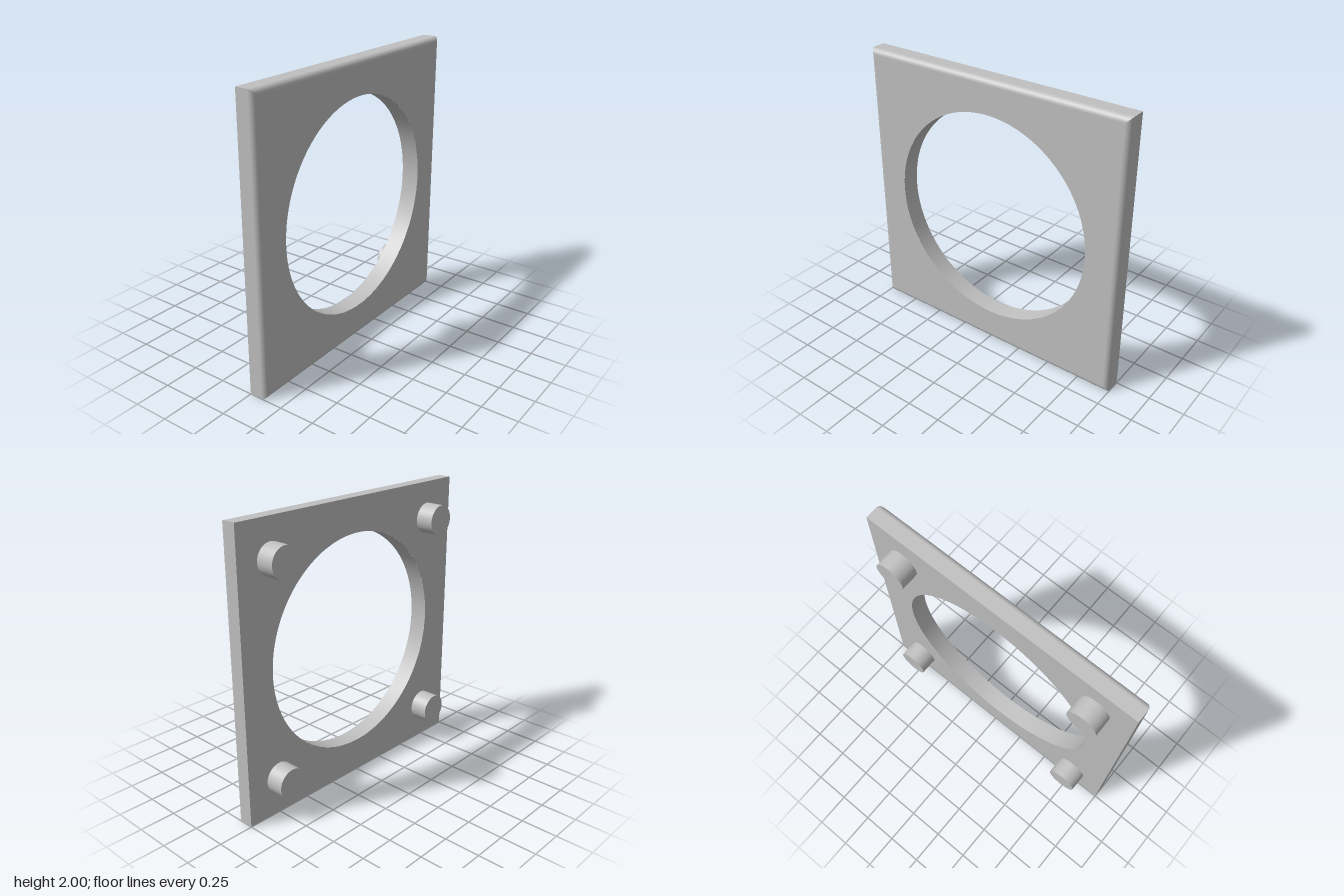
import * as THREE from 'three';

const HALF = 1, DEPTH = 0.13, FILLET = 0.04, HOLE = 0.763;
const PEG_R = 0.107, PEG_LEN = 0.13, PEG_POS = 0.74;

// Square face with the round opening, facing +z
function faceGeometry(half) {
  const shape = new THREE.Shape([
    new THREE.Vector2(-half, -half), new THREE.Vector2(half, -half),
    new THREE.Vector2(half, half), new THREE.Vector2(-half, half),
  ]);
  shape.holes.push(new THREE.Path().absarc(0, 0, HOLE, 0, Math.PI * 2, true));
  return new THREE.ShapeGeometry(shape, 96);
}

// Top edge of the plate: a straight wall rolling into a mitred front fillet
function edgeGeometry() {
  const steps = 10, pos = [], nor = [], index = [];
  const addRow = (inset, z, a) => {
    for (const s of [-1, 1]) {
      pos.push(s * (HALF - inset), HALF - inset, z);
      nor.push(0, Math.cos(a), Math.sin(a));
    }
  };
  addRow(0, 0, 0);
  for (let i = 0; i <= steps; i++) {
    const a = (i / steps) * Math.PI / 2;
    addRow(FILLET * (1 - Math.cos(a)), DEPTH - FILLET * (1 - Math.sin(a)), a);
  }
  for (let i = 0; i <= steps; i++) {
    const k = i * 2;
    index.push(k, k + 2, k + 3, k, k + 3, k + 1);
  }
  const g = new THREE.BufferGeometry();
  g.setAttribute('position', new THREE.Float32BufferAttribute(pos, 3));
  g.setAttribute('normal', new THREE.Float32BufferAttribute(nor, 3));
  g.setIndex(index);
  return g;
}

export function createModel() {
  const model = new THREE.Group();
  model.name = 'mountingPlate';
  const grey = new THREE.MeshStandardMaterial({ color: 0xc0c0c0 });
  grey.name = 'plainGrey';

  // Everything is built around the opening's centre, then lifted onto the ground
  const add = (name, geometry) => {
    const mesh = new THREE.Mesh(geometry, grey);
    mesh.name = name;
    mesh.position.y = HALF;
    model.add(mesh);
    return mesh;
  };

  add('frontFace', faceGeometry(HALF - FILLET).translate(0, 0, DEPTH));
  add('backFace', faceGeometry(HALF).rotateY(Math.PI));

  // Four outer edges
  ['topEdge', 'leftEdge', 'bottomEdge', 'rightEdge'].forEach((name, i) =>
    add(name, edgeGeometry().rotateZ(-i * Math.PI / 2)));

  // Inner wall of the opening, facing inwards
  add('openingWall', new THREE.LatheGeometry(
    [new THREE.Vector2(HOLE, DEPTH), new THREE.Vector2(HOLE, 0)], 96).rotateX(Math.PI / 2));

  // Round pegs at the back corners
  for (const sx of [-1, 1]) for (const sy of [-1, 1]) {
    const name = (sy > 0 ? 'upper' : 'lower') + (sx > 0 ? 'Left' : 'Right') + 'Peg';
    add(name, new THREE.CylinderGeometry(PEG_R, PEG_R, PEG_LEN, 48)
      .rotateX(Math.PI / 2).translate(sx * PEG_POS, sy * PEG_POS, -PEG_LEN / 2));
  }
  return model;
}
